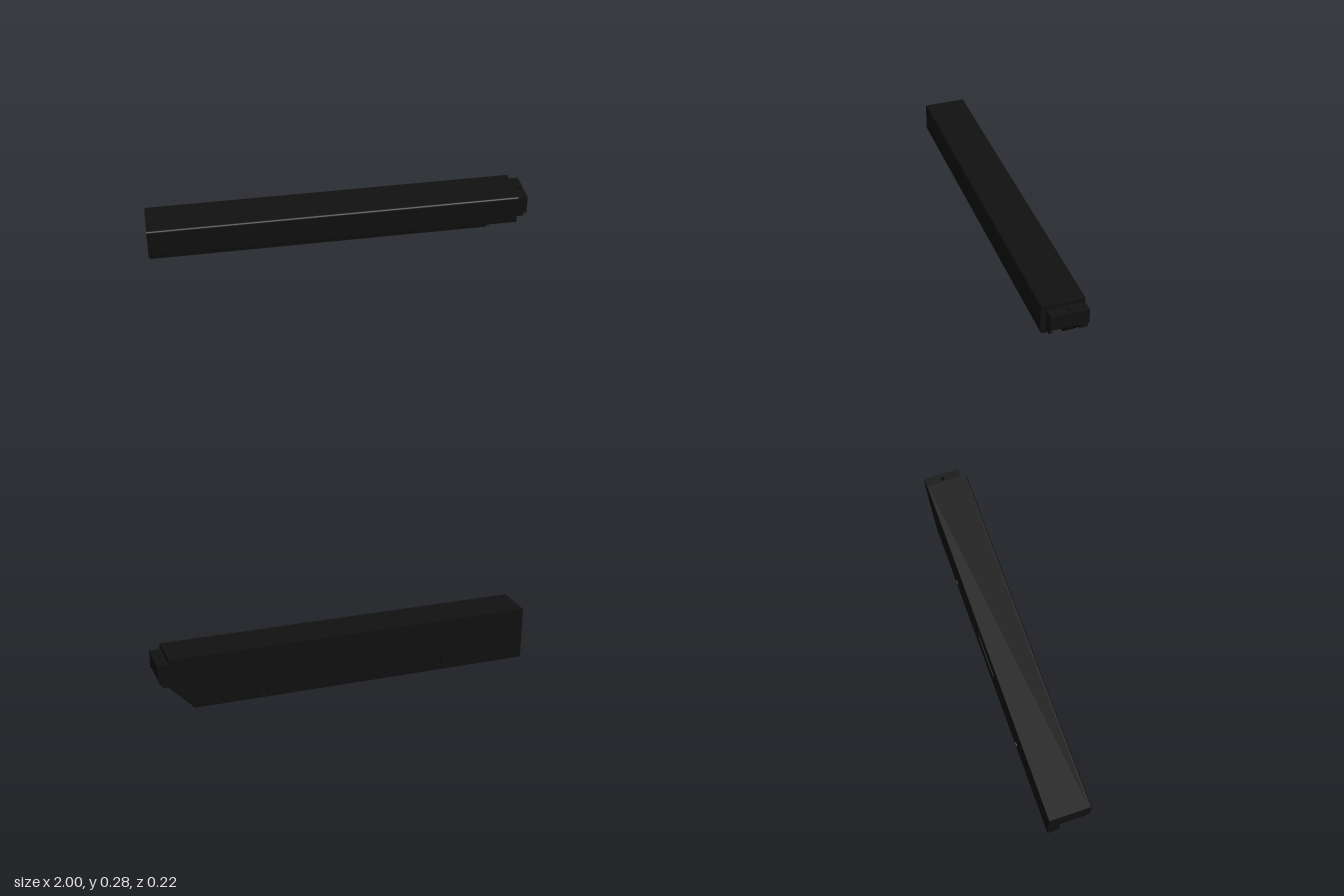
import * as THREE from 'three';

export function createModel() {
  const group = new THREE.Group();
  const black = new THREE.MeshStandardMaterial({ color: 0x111111 });

  const add = (name, geometry) => {
    const mesh = new THREE.Mesh(geometry, black);
    mesh.name = name;
    group.add(mesh);
    return mesh;
  };
  const box = (name, x0, x1, y0, y1, z0, z1) =>
    add(name, new THREE.BoxGeometry(x1 - x0, y1 - y0, z1 - z0))
      .position.set((x0 + x1) / 2, (y0 + y1) / 2, (z0 + z1) / 2);
  const polygon = (points) => new THREE.Shape(points.map(([x, y]) => new THREE.Vector2(x, y)));
  const circle = (x, y, r) => new THREE.Path().absarc(x, y, r, 0, Math.PI * 2, true);
  const extrude = (shape, depth) =>
    new THREE.ExtrudeGeometry(shape, { depth, bevelEnabled: false, curveSegments: 10 });

  // Main bar: cross-section with rounded front corners, run along x
  const y0 = 0.125, y1 = 0.284, front = -0.112, back = 0.106, r = 0.013;
  const section = new THREE.Shape();
  section.moveTo(back, y0);
  section.lineTo(back, y1);
  section.lineTo(front + r, y1);
  section.quadraticCurveTo(front, y1, front, y1 - r);
  section.lineTo(front, y0 + r);
  section.quadraticCurveTo(front, y0, front + r, y0);
  section.closePath();
  add('mainBar', extrude(section, 1.94).rotateY(Math.PI / 2).translate(-1, 0, 0));

  // Mounting plate in layers: narrow bolt holes at the front, wide ones behind
  const boltX = [-0.515, 0.455];
  const layer = (name, top, z0, z1, holeRadius, recess) => {
    const shape = polygon(top > 0.2
      ? [[-1, 0], [0.82, 0], [0.94, 0.125], [0.94, top], [-1, top]]
      : [[-1, 0], [0.82, 0], [0.94, top], [-1, top]]);
    boltX.forEach((x) => shape.holes.push(circle(x, 0.043, holeRadius)));
    if (recess) shape.holes.push(recess);
    add(name, extrude(shape, z1 - z0).translate(0, 0, z0));
  };
  const labelRecess = polygon([[-0.15, 0.115], [-0.15, 0.25], [0.09, 0.25], [0.09, 0.115]]);
  layer('mountingPlate', y0, -0.085, -0.047, 0.013, null);
  layer('counterborePlate', y0, -0.106, -0.085, 0.023, null);
  layer('backSkin', y1, -0.111, -0.106, 0.023, labelRecess);

  // Rib under the bar
  box('underRib', -0.97, 0.9, 0.091, y0, -0.047, -0.027);

  // End connector: drilled block with a sloping underside
  const plan = polygon([[0.94, -0.08], [1, -0.08], [1, 0.11], [0.94, 0.11]]);
  plan.holes.push(circle(0.97, 0.015, 0.01));
  const connector = extrude(plan, 0.1).rotateX(-Math.PI / 2).translate(0, 0.16, 0);
  const p = connector.attributes.position;
  for (let i = 0; i < p.count; i++) {
    if (p.getY(i) < 0.2) p.setY(i, 0.145 + (p.getX(i) - 0.94) * 0.58);
  }
  connector.computeVertexNormals();
  add('endConnector', connector);

  // Cheek closing the connector's front side
  const cheek = polygon([[0.94, 0.147], [0.985, 0.147], [0.985, 0.165], [1, 0.165], [1, 0.26], [0.94, 0.26]]);
  add('connectorCheek', extrude(cheek, 0.005).translate(0, 0, 0.08));

  // Catch tabs below the connector
  box('upperCatch', 0.94, 0.99, 0.154, 0.175, -0.109, -0.07);
  box('lowerCatch', 0.94, 0.975, 0.136, 0.147, -0.109, -0.07);

  return group;
}
